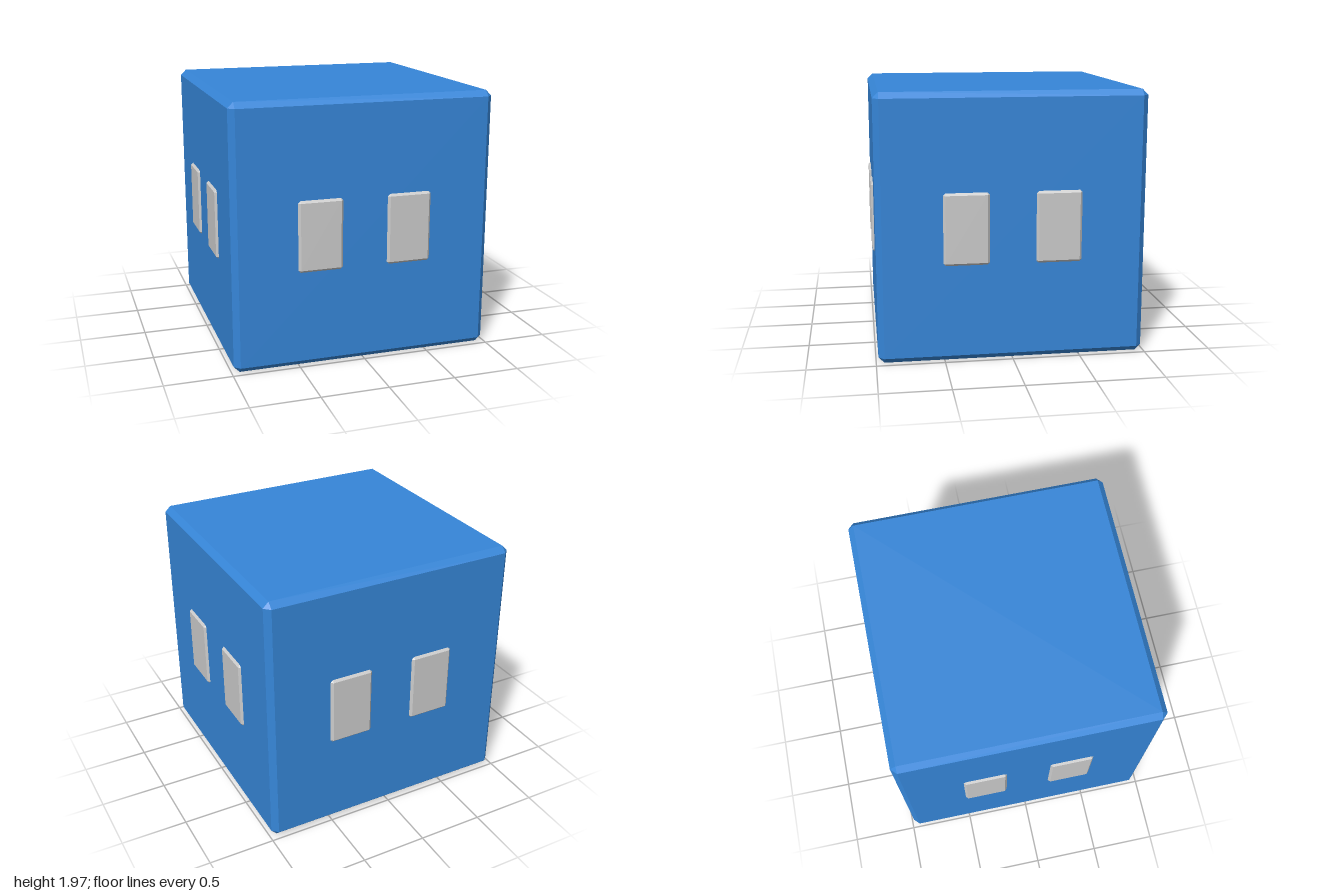
import * as THREE from 'three';
import { ConvexGeometry } from 'three/addons/geometries/ConvexGeometry.js';

// Box with flat chamfers on all edges and triangular corners
function chamferedBox(w, h, d, c) {
  const points = [];
  for (const sx of [-1, 1]) for (const sy of [-1, 1]) for (const sz of [-1, 1]) {
    const x = w / 2, y = h / 2, z = d / 2;
    points.push(
      new THREE.Vector3(sx * x, sy * (y - c), sz * (z - c)),
      new THREE.Vector3(sx * (x - c), sy * y, sz * (z - c)),
      new THREE.Vector3(sx * (x - c), sy * (y - c), sz * z)
    );
  }
  return new ConvexGeometry(points);
}

export function createModel() {
  const model = new THREE.Group();
  model.name = 'cube';
  const size = 1.966, centreY = size / 2;
  const blue = new THREE.MeshStandardMaterial({ color: 0x3686d8, flatShading: true });
  const grey = new THREE.MeshStandardMaterial({ color: 0xcccccc, flatShading: true });

  // Main block
  const body = new THREE.Mesh(chamferedBox(size, size, size, 0.043), blue);
  body.name = 'body';
  body.position.y = centreY;
  model.add(body);

  // A pair of raised panels on each of the four sides
  const panelGeometry = chamferedBox(0.335, 0.53, 0.06, 0.017);
  ['front', 'left', 'back', 'right'].forEach((side, i) => {
    const pair = new THREE.Group();
    pair.name = side + 'Panels';
    pair.rotation.y = i * Math.PI / 2;
    for (const s of [-1, 1]) {
      const panel = new THREE.Mesh(panelGeometry, grey);
      panel.name = 'panel';
      panel.position.set(s * 0.337, 0.987, 0.97);
      pair.add(panel);
    }
    model.add(pair);
  });

  return model;
}
